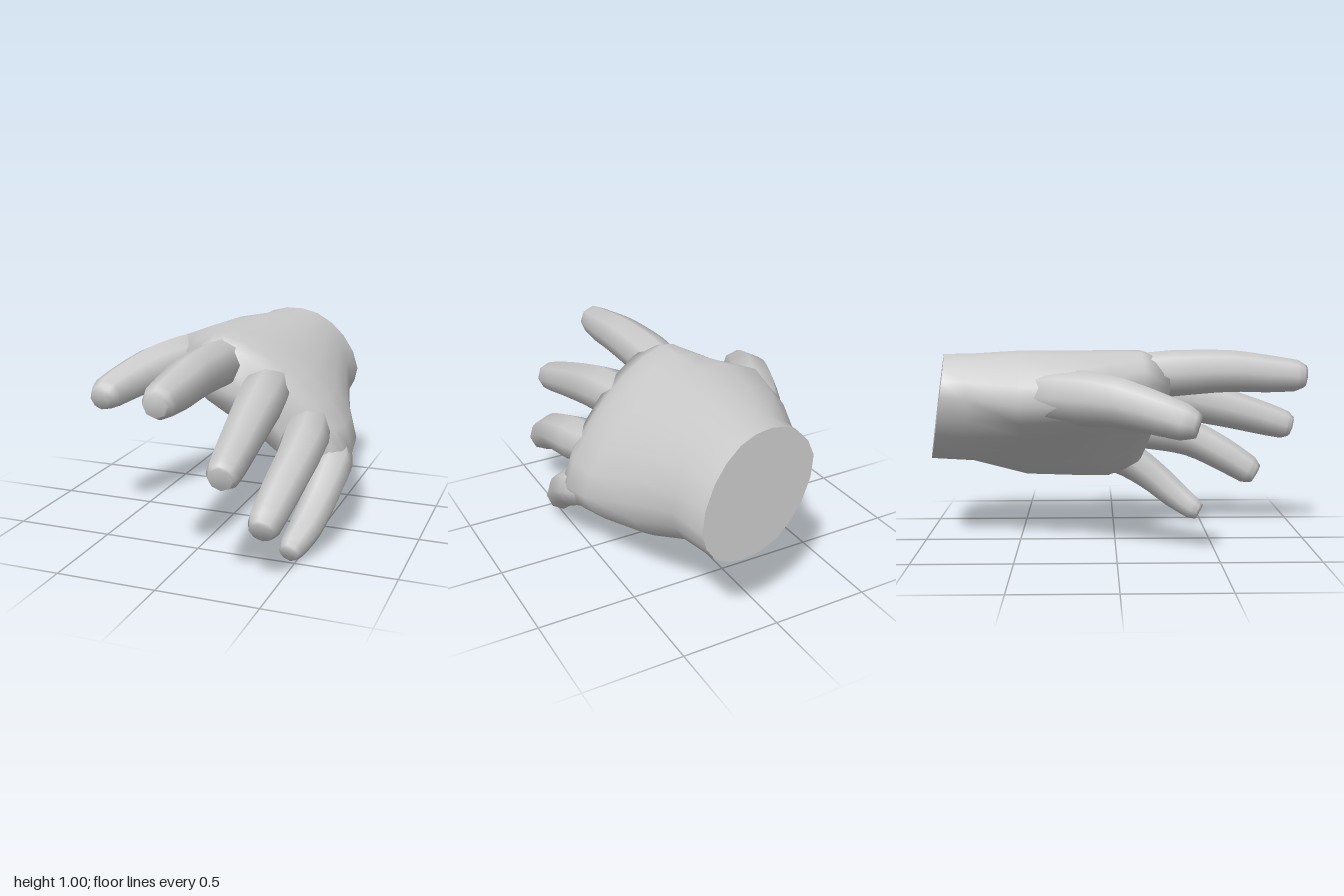
import * as THREE from 'three';

const material = new THREE.MeshStandardMaterial({ color: 0xcccccc });

// Skin a list of rings (each running -x, +y, +x, -y) and close both ends.
function loft(rings, sharpStart) {
  const n = rings[0].length, pos = [], idx = [];
  const add = (p) => pos.push(p.x, p.y, p.z) / 3 - 1;
  rings.forEach((ring) => ring.forEach(add));
  for (let i = 0; i < rings.length - 1; i++) {
    for (let j = 0; j < n; j++) {
      const a = i * n + j, b = i * n + (j + 1) % n;
      idx.push(a, a + n, b, b, a + n, b + n);
    }
  }
  const cap = (ring, first, flip) => {
    const mid = new THREE.Vector3();
    ring.forEach((p) => mid.addScaledVector(p, 1 / n));
    const c = add(mid);
    for (let j = 0; j < n; j++) {
      const a = first + j, b = first + (j + 1) % n;
      if (flip) idx.push(c, b, a); else idx.push(c, a, b);
    }
  };
  let start = 0;
  if (sharpStart) {
    start = pos.length / 3;
    rings[0].forEach(add);
  }
  cap(rings[0], start, false);
  cap(rings[rings.length - 1], (rings.length - 1) * n, true);
  const geo = new THREE.BufferGeometry();
  geo.setAttribute('position', new THREE.Float32BufferAttribute(pos, 3));
  geo.setIndex(idx);
  geo.computeVertexNormals();
  return geo;
}

// Tapered digit along joints [x, y, z, radius]; the first joint is sunk in the palm.
function digit(joints) {
  const sides = 8, perJoint = 3;
  const curve = new THREE.CatmullRomCurve3(
    joints.map(([x, y, z]) => new THREE.Vector3(x, y, z)), false, 'centripetal');
  const last = joints.length - 1, rings = [];
  for (let i = 0; i <= last * perJoint; i++) {
    const s = i / perJoint, k = Math.min(Math.floor(s), last - 1);
    const r = 1.03 * THREE.MathUtils.lerp(joints[k][3], joints[k + 1][3], s - k);
    const c = curve.getPoint(s / last), t = curve.getTangent(s / last);
    const up = new THREE.Vector3(0, 1, 0).addScaledVector(t, -t.y).normalize();
    const side = new THREE.Vector3().crossVectors(up, t);
    rings.push(Array.from({ length: sides }, (_, j) => {
      const a = j / sides * Math.PI * 2;
      return c.clone().addScaledVector(side, -Math.cos(a) * r).addScaledVector(up, Math.sin(a) * r);
    }));
  }
  return loft(rings, false);
}

// Cross-sections from wrist to knuckles: z at x = y = 0, slope of z in x and y, outline.
const palmSections = [
  { z: -1.02, kx: -0.15, ky: 0.14, pts: [[-.24, .78], [-.15, .92], [0, .98], [.18, .95], [.33, .82], [.41, .62], [.35, .48], [.2, .42], [0, .45], [-.16, .58]] },
  { z: -0.75, kx: 0, ky: 0, pts: [[-.245, .77], [-.15, .92], [0, .98], [.2, .95], [.36, .8], [.425, .6], [.37, .45], [.22, .4], [0, .44], [-.17, .57]] },
  { z: -0.48, kx: 0, ky: 0, pts: [[-.37, .74], [-.26, .93], [0, 1], [.22, .93], [.42, .75], [.5, .52], [.43, .34], [.3, .3], [0, .47], [-.22, .58]] },
  { z: -0.2, kx: 0, ky: 0, pts: [[-.45, .75], [-.35, .92], [0, 1], [.27, .9], [.5, .68], [.61, .44], [.51, .29], [.36, .28], [.02, .49], [-.27, .61]] },
  { z: -0.03, kx: 0, ky: 0, pts: [[-.28, .79], [-.2, .94], [0, 1], [.27, .9], [.5, .69], [.635, .42], [.54, .265], [.4, .28], [.15, .49], [-.14, .66]] },
  { z: 0.13, kx: -0.12, ky: 0, pts: [[-.17, .84], [-.11, .96], [0, 1], [.24, .89], [.46, .68], [.61, .43], [.53, .29], [.4, .33], [.17, .53], [-.08, .7]] },
];

function palm() {
  // The knuckle edge is the last section drawn in towards its middle.
  const knuckles = palmSections[palmSections.length - 1].pts
    .map(([x, y]) => [0.23 + (x - 0.23) * 0.88, 0.68 + (y - 0.68) * 0.88]);
  const sections = [...palmSections, { z: 0.25, kx: -0.25, ky: 0, pts: knuckles }];
  const rings = sections.map(({ z, kx, ky, pts }) => {
    const outline = new THREE.CatmullRomCurve3(
      pts.map(([x, y]) => new THREE.Vector3(x, y, z + kx * x + ky * y)), true, 'centripetal');
    return Array.from({ length: 20 }, (_, j) => outline.getPoint(j / 20));
  });
  return loft(rings, true);
}

const digits = {
  thumb: [[-.15, .79, -.5, .08], [-.28, .79, -.32, .125], [-.36, .785, -.15, .133], [-.45, .77, .02, .117], [-.57, .695, .31, .087], [-.585, .675, .38, .055]],
  indexFinger: [[0, .855, -.15, .1], [0, .88, .3, .117], [.015, .89, .6, .106], [.02, .875, .8, .095], [.02, .865, .95, .08], [.02, .86, 1, .055]],
  middleFinger: [[.18, .76, -.15, .1], [.255, .735, .3, .12], [.285, .67, .6, .103], [.305, .6, .85, .087], [.31, .57, .95, .075], [.31, .56, .985, .055]],
  ringFinger: [[.37, .59, -.2, .09], [.455, .53, .22, .115], [.47, .47, .45, .1], [.455, .38, .63, .092], [.44, .295, .77, .08], [.435, .27, .815, .055]],
  littleFinger: [[.42, .46, -.35, .06], [.5, .42, -.13, .09], [.545, .36, .05, .105], [.54, .25, .22, .09], [.51, .135, .36, .08], [.475, .063, .46, .064], [.465, .042, .5, .045]],
};

export function createModel() {
  const hand = new THREE.Group();
  hand.name = 'hand';
  const part = (name, geometry) => {
    const mesh = new THREE.Mesh(geometry, material);
    mesh.name = name;
    hand.add(mesh);
  };
  part('palmAndWrist', palm());
  for (const [name, joints] of Object.entries(digits)) part(name, digit(joints));
  return hand;
}
